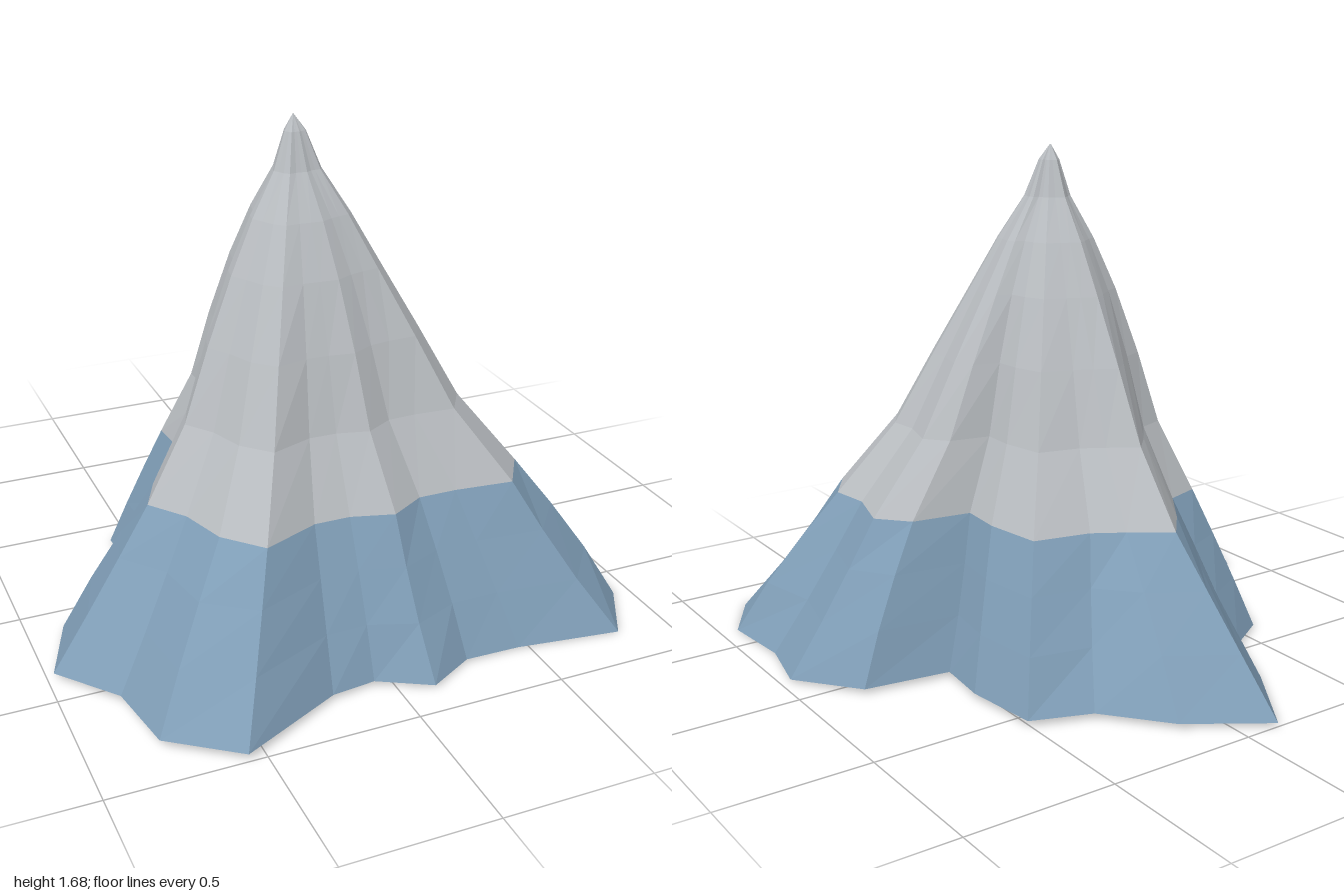
import * as THREE from 'three';

const APEX = new THREE.Vector3(-0.06, 1.68, 0.14);

// One row per fold line: rim x, rim z, then x, z at the colour change (y = 0.5)
const FOLDS = [
  [-0.12, -1.0, -0.08, -0.54], [0.14, -0.84, 0.05, -0.45], [0.31, -0.64, 0.15, -0.39],
  [0.51, -0.57, 0.34, -0.35], [0.54, -0.31, 0.37, -0.15], [0.52, -0.12, 0.36, 0.0],
  [0.81, -0.08, 0.56, 0.03], [0.97, 0.13, 0.65, 0.13], [0.92, 0.36, 0.6, 0.31],
  [0.94, 0.63, 0.62, 0.45], [0.82, 0.84, 0.53, 0.59], [0.46, 0.8, 0.33, 0.57],
  [0.27, 0.8, 0.2, 0.57], [0.11, 0.89, 0.08, 0.64], [-0.06, 0.8, -0.06, 0.6],
  [-0.21, 0.82, -0.18, 0.6], [-0.56, 1.0, -0.37, 0.68], [-0.78, 0.84, -0.48, 0.56],
  [-0.82, 0.58, -0.53, 0.4], [-0.98, 0.38, -0.62, 0.28], [-0.88, 0.12, -0.56, 0.15],
  [-0.56, -0.01, -0.39, 0.05], [-0.57, -0.38, -0.41, -0.22], [-0.41, -0.48, -0.29, -0.26],
  [-0.3, -0.72, -0.18, -0.42],
];

// Upper rings: height, radius scale, how far the folds even out
const UPPER = [
  [0.5, 1, 0], [0.74, 0.75, 0.1], [0.98, 0.6, 0.3], [1.2, 0.44, 0.5],
  [1.37, 0.29, 0.55], [1.51, 0.135, 0.4], [1.63, 0.06, 0.4], [1.68, 0.004, 1],
];
const MEAN_RADIUS = 0.52;

function skirtRing(t) {
  return FOLDS.map(([x, z, x5, z5], i) => {
    const y0 = 0.015 - 0.021 * x * z;
    const sag = Math.sin(Math.PI * t) * 0.02 * Math.sin(i * 2.3);
    const p = new THREE.Vector3(
      THREE.MathUtils.lerp(x, x5, t), Math.max(0, THREE.MathUtils.lerp(y0, 0.5, t)),
      THREE.MathUtils.lerp(z, z5, t));
    p.x += (p.x - APEX.x) * sag;
    p.z += (p.z - APEX.z) * sag;
    return p;
  });
}

function upperRing([y, scale, even]) {
  return FOLDS.map(([, , x, z]) => {
    const dx = x - APEX.x, dz = z - APEX.z, r = Math.hypot(dx, dz);
    const k = scale * THREE.MathUtils.lerp(1, MEAN_RADIUS / r, even);
    return new THREE.Vector3(APEX.x + dx * k, y, APEX.z + dz * k);
  });
}

// Join closed rings, listed from bottom to top
function loft(rings) {
  const n = FOLDS.length, index = [];
  for (let r = 0; r < rings.length - 1; r++) {
    for (let i = 0; i < n; i++) {
      const a = r * n + i, b = r * n + (i + 1) % n;
      index.push(b, a, a + n, b, a + n, b + n);
    }
  }
  const geometry = new THREE.BufferGeometry().setFromPoints(rings.flat());
  geometry.setIndex(index);
  const flat = geometry.toNonIndexed();
  flat.computeVertexNormals();
  return flat;
}

function material(name, color, options = {}) {
  const m = new THREE.MeshStandardMaterial({ color, ...options });
  m.name = name;
  return m;
}

export function createModel() {
  const group = new THREE.Group();
  const cloth = { side: THREE.DoubleSide, flatShading: true };
  const clothBlue = material('cloth blue', 0x7f9db6, cloth);
  const clothGrey = material('cloth grey', 0xb9bdc1, cloth);
  const baseBlue = material('base blue', 0x2a75a8, { side: THREE.DoubleSide });
  const standGrey = material('stand grey', 0xc4c8cc, { side: THREE.DoubleSide });

  const add = (parent, name, geometry, mat) => {
    const mesh = new THREE.Mesh(geometry, mat);
    mesh.name = name;
    parent.add(mesh);
    return mesh;
  };
  const lathe = (points, start = 0, length = Math.PI * 2, segments = 40) =>
    new THREE.LatheGeometry(points.map(p => new THREE.Vector2(...p)), segments, start, length);

  // Draped cloth
  add(group, 'lowerCloth', loft([0, 0.35, 0.68, 1].map(skirtRing)), clothBlue);
  add(group, 'upperCloth', loft(UPPER.map(upperRing)), clothGrey);

  // Hidden stand: flat ring base, hub and post
  const stand = new THREE.Group();
  stand.name = 'stand';
  stand.position.set(0.04, 0, 0.1);
  group.add(stand);
  add(stand, 'baseUnderside', lathe([[0.21, 0.02], [0.48, 0.02]]), baseBlue);
  add(stand, 'baseTop', lathe([[0.42, 0.1], [0.21, 0.12]]), baseBlue);
  add(stand, 'baseBore', lathe([[0.21, 0.12], [0.21, 0.02]]), baseBlue);

  // Rim of alternating panels
  const panels = 10, step = Math.PI * 2 / panels;
  for (let i = 0; i < panels; i++) {
    add(stand, 'rimPanel', lathe([[0.48, 0.02], [0.47, 0.06], [0.42, 0.1]], i * step, step, 4),
      i % 2 ? standGrey : baseBlue);
  }
  add(stand, 'hub', lathe([[0.21, 0.12], [0.14, 0.16], [0.1, 0.17], [0.1, 0.22], [0.05, 0.24]]), standGrey);
  add(stand, 'post', new THREE.CylinderGeometry(0.03, 0.05, 0.6, 20).translate(0, 0.53, 0), standGrey);
  add(stand, 'collar', new THREE.CylinderGeometry(0.09, 0.09, 0.06, 20).translate(0, 0.42, 0), baseBlue);
  return group;
}
